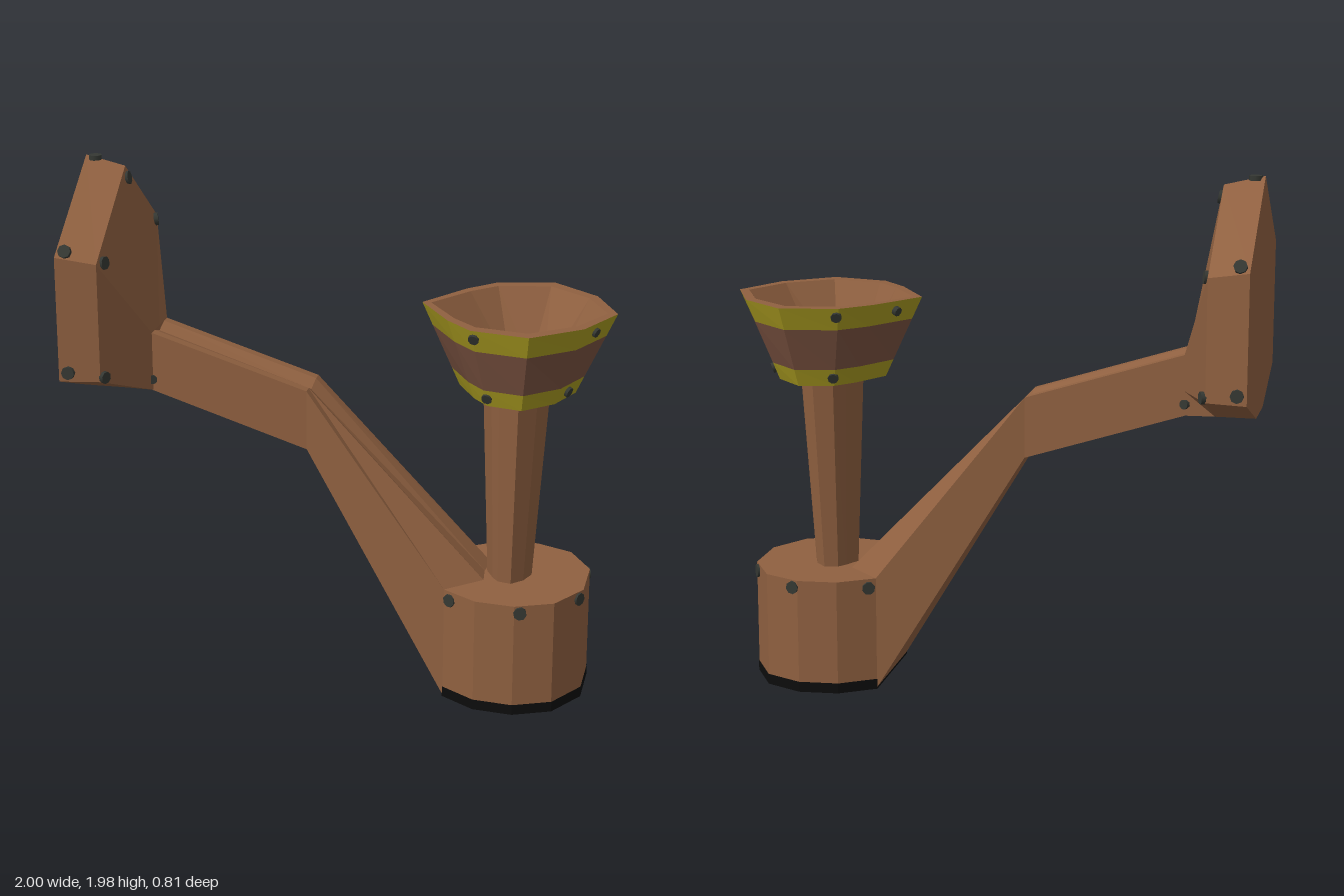
import * as THREE from 'three';

const V = (x, y, z) => new THREE.Vector3(x, y, z);
const paint = (name, color) => {
  const m = new THREE.MeshStandardMaterial({ color });
  m.name = name;
  return m;
};

// Faceted skin over matching rings of points; caps: [first, last]; inward turns it inside out
function loft(rings, caps = [true, true], inward = false) {
  const skin = [], ends = [[], []], n = rings[0].length;
  for (let r = 0; r + 1 < rings.length; r++) {
    for (let i = 0; i < n; i++) {
      const j = (i + 1) % n;
      const [a, b, c, d] = [rings[r][i], rings[r][j], rings[r + 1][j], rings[r + 1][i]];
      skin.push([a, b, c], [a, c, d]);
    }
  }
  [rings[0], rings[rings.length - 1]].forEach((ring, e) => {
    const mid = ring.reduce((s, p) => s.add(p), V(0, 0, 0)).divideScalar(n);
    ring.forEach((p, i) => {
      const q = ring[(i + 1) % n];
      ends[e].push(e ? [p, q, mid] : [q, p, mid]);
    });
  });
  // The enclosed volume tells which way the faces turn
  const volume = [...skin, ...ends[0], ...ends[1]]
    .reduce((s, [a, b, c]) => s + a.dot(b.clone().cross(c)), 0);
  const tris = [...skin, ...(caps[0] ? ends[0] : []), ...(caps[1] ? ends[1] : [])];
  if ((volume < 0) !== inward) tris.forEach(t => t.reverse());
  const geo = new THREE.BufferGeometry().setFromPoints(tris.flat());
  geo.computeVertexNormals();
  return geo;
}

// Mirrors half an outline of [x, z] points across z = 0
const mirror = half => [...half, ...half.filter(p => Math.abs(p[1]) > 1e-6).reverse().map(([x, z]) => [x, -z])];

export function createModel() {
  const group = new THREE.Group();
  group.name = 'wallTorchHolder';
  const wood = paint('wood', 0x8f6040);
  const darkWood = paint('darkWood', 0x7a5240);
  const brass = paint('brass', 0xa89a20);
  const iron = paint('iron', 0x353833);
  const black = paint('black', 0x0c0c0c);

  const add = (name, geo, mat) => {
    const mesh = new THREE.Mesh(geo, mat);
    mesh.name = name;
    group.add(mesh);
    return mesh;
  };

  // Wall plate: house-shaped outline tapering into the arm
  const plateRing = (x, pts) => [
    ...pts.map(([z, y]) => V(x, y, z)),
    ...pts.slice(1).reverse().map(([z, y]) => V(x, y, -z)),
  ];
  add('wallPlate', loft([
    plateRing(-1, [[0, 1.98], [0.4, 1.69], [0.4, 1.22], [0.1, 1.11]]),
    plateRing(-0.85, [[0, 1.945], [0.375, 1.665], [0.375, 1.22], [0.1, 1.11]]),
    plateRing(-0.735, [[0, 1.335], [0.1, 1.335], [0.1, 1.2], [0.1, 1.108]]),
  ]), wood);

  // Bent arm with a shallow channel along its top
  const armRing = (edge, strip, mid, low) => [
    V(mid[0], mid[1], 0), V(...strip), V(...edge), V(...low),
    ...[low, edge, strip].map(([x, y, z]) => V(x, y, -z)),
  ];
  add('arm', loft([
    armRing([-0.74, 1.335, 0.1], [-0.74, 1.335, 0.06], [-0.74, 1.315], [-0.74, 1.108, 0.1]),
    armRing([-0.14, 1.145, 0.1], [-0.14, 1.145, 0.06], [-0.145, 1.12], [-0.14, 0.915, 0.1]),
    armRing([0.41, 0.44, 0.21], [0.54, 0.44, 0.09], [0.54, 0.43], [0.41, 0.005, 0.21]),
  ]), wood);

  // Base drum with a black foot band
  const baseOutline = mirror([[0.41, 0.21], [0.54, 0.295], [0.69, 0.31], [0.83, 0.25], [0.92, 0.1]]);
  const baseRing = (y, s = 1) => baseOutline.map(([x, z]) => V(0.665 + (x - 0.665) * s, y, z * s));
  add('base', loft([baseRing(0.002), baseRing(0.44)]), wood);
  add('footBand', loft([baseRing(0, 1.008), baseRing(0.04, 1.008)], [false, false]), black);

  // Ten-sided outline shared by the column and the cup
  const outline = mirror([[1, 0], [0.73, 0.59], [0.24, 1], [-0.36, 0.88], [-0.64, 0.58], [-1, 0]]);
  const ring = (y, cx, rx, rz) => outline.map(([x, z]) => V(cx + x * rx, y, z * rz));
  add('column', loft([ring(0.44, 0.625, 0.085, 0.105), ring(1.18, 0.635, 0.125, 0.155)]), wood);

  // Cup: outer wall in three bands, then rim, inside and floor
  const cupRing = y => {
    const t = (y - 1.18) / 0.31;
    return ring(y, 0.637, 0.216 + 0.144 * t, 0.248 + 0.11 * t);
  };
  const levels = [1.18, 1.245, 1.405, 1.49];
  const bands = [['lowerCupBand', brass], ['cupWall', darkWood], ['upperCupBand', brass]];
  bands.forEach(([name, mat], i) =>
    add(name, loft([cupRing(levels[i]), cupRing(levels[i + 1])], [false, false]), mat));
  add('cupUnderside', loft([cupRing(1.18), cupRing(1.19).map(p => p.setX(0.637 + (p.x - 0.637) * 0.9))]
    .map(r => r.map(p => V(0.637 + (p.x - 0.637) * 0.98, p.y, p.z * 0.98)))), wood);
  add('cupInside', loft([
    cupRing(1.49), ring(1.49, 0.635, 0.325, 0.305), ring(1.22, 0.632, 0.12, 0.16),
  ], [false, true], true), wood);
  add('torchSocket', new THREE.BoxGeometry(0.17, 0.008, 0.17), brass).position.set(0.645, 1.225, 0);

  // Rivets: thin discs, each turned to its surface
  const disc = new THREE.CylinderGeometry(1, 1, 0.018, 8);
  const rivet = (x, y, z, nx, ny, nz, r = 0.025) => {
    const m = add('rivet', disc, iron);
    m.scale.set(r, 1, r);
    m.position.set(x, y, z);
    m.quaternion.setFromUnitVectors(V(0, 1, 0), V(nx, ny, nz).normalize());
  };
  rivet(-0.965, 1.972, 0, 0, 1, 0);
  rivet(-0.842, 1.9, 0, 1, 0.19, 0);
  for (const s of [1, -1]) {
    // Plate rivets
    rivet(-0.965, 1.71, s * 0.382, 0, 0.5, s);
    rivet(-0.965, 1.255, s * 0.398, 0, 0, s);
    rivet(-0.838, 1.66, s * 0.325, 1, 0.1, s * 0.3);
    rivet(-0.838, 1.235, s * 0.36, 1, 0, s * 0.5, 0.023);
    rivet(-0.738, 1.15, s * 0.1, 0.5, 0, s, 0.018);
    // Base rivets
    rivet(0.435, 0.405, s * 0.227, -0.55, 0, s);
    rivet(0.71, 0.412, s * 0.303, 0.2, 0, s);
    rivet(0.905, 0.412, s * 0.125, 1, 0, s * 0.6);
    // Cup rivets
    rivet(0.52, 1.457, s * 0.307, -0.2, -0.4, s, 0.02);
    rivet(0.56, 1.212, s * 0.228, -0.2, -0.4, s, 0.02);
    rivet(0.835, 1.212, s * 0.09, 1, -0.4, s * 0.45, 0.02);
  }
  rivet(0.93, 1.452, 0.115, 1, -0.4, 0.5, 0.018);
  rivet(0.345, 1.452, -0.11, -1, -0.4, -0.5, 0.018);
  return group;
}
